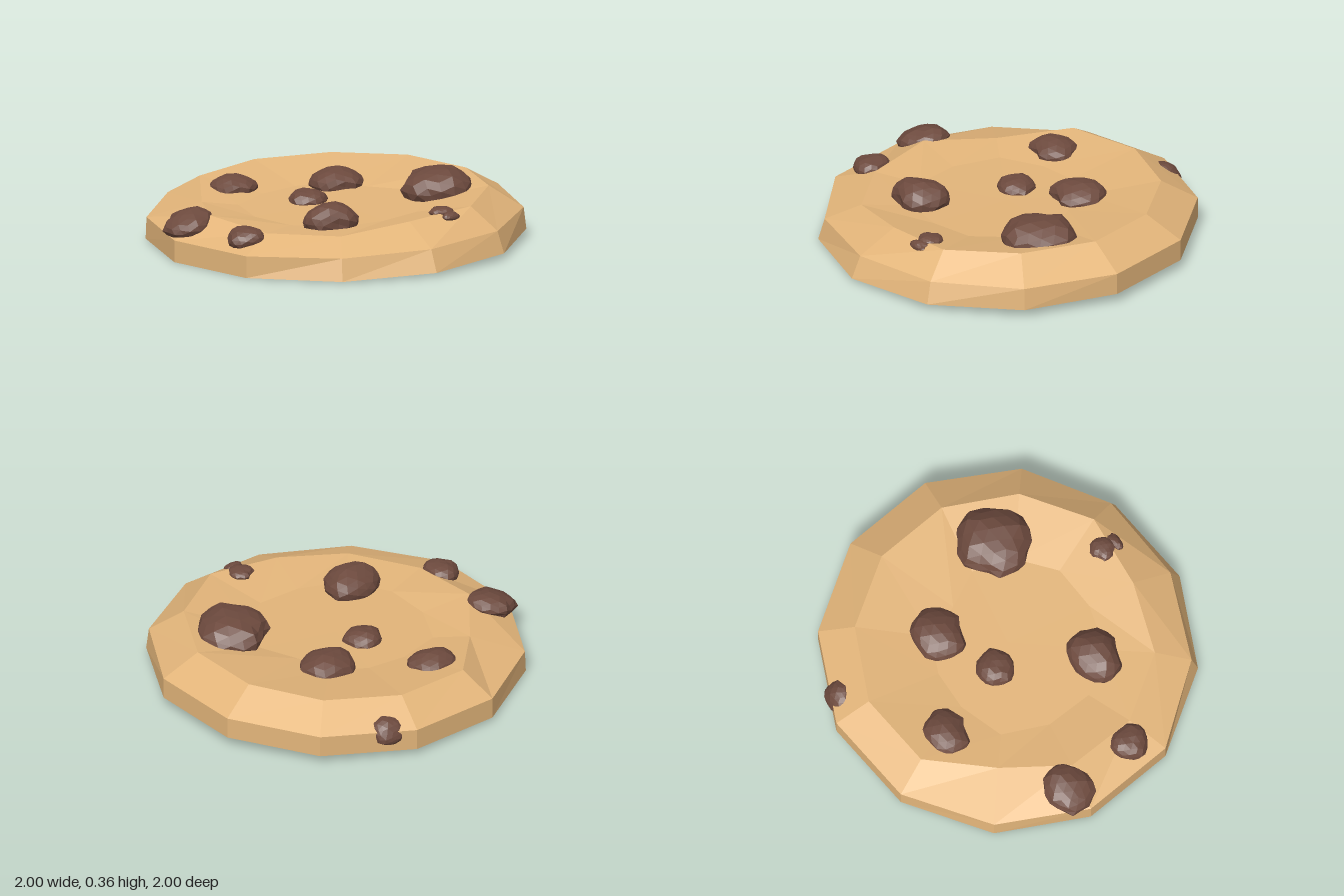
import * as THREE from 'three';

const SIDES = 12;

// Ring of points around y; radius and height may be a list or a rule of (x, z)
function ring(radii, height) {
  return Array.from({ length: SIDES }, (_, i) => {
    const a = ((i + 0.5) / SIDES) * Math.PI * 2;
    const r = Array.isArray(radii) ? radii[i] : radii;
    const x = r * Math.cos(a), z = r * Math.sin(a);
    return [x, Array.isArray(height) ? height[i] : height(x, z), z];
  });
}

// Faceted skin through a stack of rings, closed at both ends
function skin(rings, bottom, top) {
  const pos = [];
  const tri = (a, b, c) => pos.push(...a, ...b, ...c);
  const first = rings[0], last = rings[rings.length - 1];
  for (let i = 0; i < SIDES; i++) {
    const j = (i + 1) % SIDES;
    for (let k = 0; k < rings.length - 1; k++) {
      const lo = rings[k], hi = rings[k + 1];
      tri(lo[i], hi[i], lo[j]);
      tri(lo[j], hi[i], hi[j]);
    }
    tri(bottom, first[i], first[j]);
    tri(top, last[j], last[i]);
  }
  const g = new THREE.BufferGeometry();
  g.setAttribute('position', new THREE.Float32BufferAttribute(pos, 3));
  g.computeVertexNormals();
  return g;
}

// Lumpy faceted nugget of radius 1
function lumpGeometry(seed) {
  const g = new THREE.IcosahedronGeometry(1, 2);
  const p = g.attributes.position, v = new THREE.Vector3();
  for (let i = 0; i < p.count; i++) {
    v.fromBufferAttribute(p, i);
    const n = Math.sin(v.x * 3.1 + seed * 1.7) * Math.sin(v.z * 3.7 + seed * 2.3)
      + 0.6 * Math.sin(v.x * 7.3 + v.y * 6.1 + seed) * Math.cos(v.z * 8.1 - seed);
    // a notch bitten out of one side
    const notch = Math.max(0, Math.cos(Math.atan2(v.z, v.x) - seed * 2.1) - 0.9) * Math.hypot(v.x, v.z);
    v.multiplyScalar(0.98 + 0.07 * n - 1.8 * notch);
    p.setXYZ(i, v.x, v.y, v.z);
  }
  g.computeVertexNormals();
  return g;
}

export function createModel() {
  const group = new THREE.Group();
  const dough = new THREE.MeshStandardMaterial({ color: 0xe3b57a, flatShading: true });
  const chocolate = new THREE.MeshStandardMaterial({ color: 0x6d4a3e, flatShading: true });

  // Biscuit: tilted base, wall, uneven rim and a shallow dish
  const base = ring(1.035, (x) => 0.032 + 0.027 * x);
  const wall = ring(
    [1.035, 1.02, 0.995, 0.98, 1.0, 1.035, 1.035, 1.03, 1.035, 1.035, 1.035, 1.035],
    (x) => 0.153 + 0.027 * x);
  const rim = ring(
    [0.83, 0.83, 0.83, 0.755, 0.8, 0.8, 0.8, 0.73, 0.84, 0.84, 0.835, 0.83],
    [0.295, 0.295, 0.28, 0.255, 0.21, 0.205, 0.235, 0.215, 0.26, 0.275, 0.285, 0.295]);
  const dish = ring(
    [0.45, 0.48, 0.5, 0.49, 0.53, 0.53, 0.52, 0.53, 0.45, 0.42, 0.42, 0.36],
    (x) => 0.208 + 0.03 * x);
  const biscuit = new THREE.Mesh(
    skin([base, wall, rim, dish], [0, 0.032, 0], [0, 0.205, 0]), dough);
  biscuit.name = 'biscuit';
  group.add(biscuit);

  // Chips: x, y, z, half width, half height, half depth, tilt about x, tilt about z
  const chips = [
    [-0.18, 0.22, -0.60, 0.145, 0.075, 0.13, 0, 0],
    [-0.85, 0.19, -0.30, 0.15, 0.07, 0.14, 0, 0.25],
    [-0.06, 0.205, -0.15, 0.115, 0.065, 0.105, 0, 0],
    [0.28, 0.225, -0.26, 0.165, 0.085, 0.15, 0, 0],
    [0.48, 0.255, 0.31, 0.21, 0.12, 0.21, 0, 0],
    [-0.86, 0.185, 0.13, 0.105, 0.06, 0.105, 0, 0.2],
    [-0.37, 0.225, 0.31, 0.17, 0.1, 0.145, 0, 0],
    [0.06, 0.265, 0.73, 0.07, 0.03, 0.07, 0, 0],
    [0.05, 0.255, 0.81, 0.06, 0.025, 0.035, 0.3, 0],
    [0.38, 0.155, -0.89, 0.095, 0.05, 0.09, -0.75, -0.2],
  ];
  chips.forEach(([x, y, z, w, h, d, tx, tz], i) => {
    const chip = new THREE.Mesh(lumpGeometry(i + 1), chocolate);
    chip.name = `chocolateChip${i + 1}`;
    chip.position.set(x, y, z);
    chip.scale.set(w, h, d);
    chip.rotation.set(tx, 0, tz);
    group.add(chip);
  });
  return group;
}
